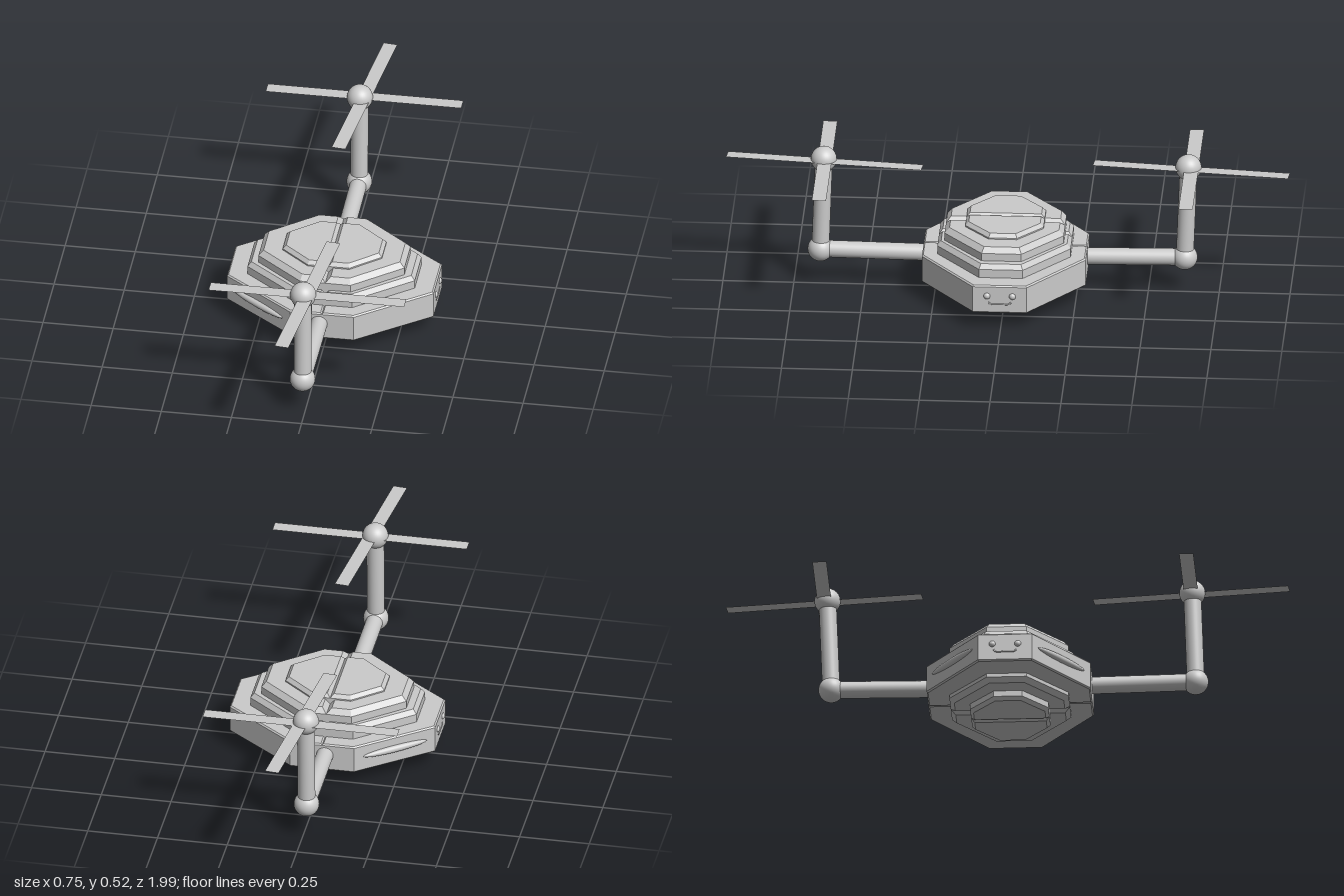
import * as THREE from 'three';

const grey = new THREE.MeshStandardMaterial({ color: 0xcccccc });
const thin = new THREE.MeshStandardMaterial({ color: 0xcccccc, side: THREE.DoubleSide });

function add(parent, name, geometry, material = grey) {
  const mesh = new THREE.Mesh(geometry, material);
  mesh.name = name;
  parent.add(mesh);
  return mesh;
}

// Octagonal slab from y0 to y1, split at x = 0, with chamfered edges
function slab(parent, name, y0, y1, x, z, xFlat, zFlat, inset, rise) {
  const shape = new THREE.Shape([
    [0, -z], [xFlat, -z], [x, -zFlat], [x, zFlat], [xFlat, z], [0, z],
  ].map(([a, b]) => new THREE.Vector2(a, b)));
  const geometry = new THREE.ExtrudeGeometry(shape, {
    depth: y1 - y0 - 2 * rise, bevelEnabled: true, bevelSegments: 1,
    bevelSize: inset, bevelOffset: -inset, bevelThickness: rise,
  });
  geometry.rotateX(-Math.PI / 2).translate(0, y0 + rise, 0);
  for (const side of [0, 1]) {
    add(parent, name + (side ? 'Right' : 'Left'), geometry).rotation.y = side * Math.PI;
  }
}

// Round bar between two points
function bar(parent, name, a, b, radius) {
  const mesh = add(parent, name, new THREE.CylinderGeometry(radius, radius, a.distanceTo(b), 32));
  mesh.position.copy(a).lerp(b, 0.5);
  mesh.quaternion.setFromUnitVectors(new THREE.Vector3(0, 1, 0), b.clone().sub(a).normalize());
}

function ball(parent, name, p, radius) {
  add(parent, name, new THREE.SphereGeometry(radius, 32, 20)).position.copy(p);
}

export function createModel() {
  const model = new THREE.Group();

  // Hull with stepped tiers above and below
  const body = new THREE.Group();
  body.name = 'body';
  body.position.z = 0.003;
  model.add(body);
  slab(body, 'hull', 0.062, 0.167, 0.368, 0.289, 0.114, 0.095, 0.005, 0.005);
  slab(body, 'lowerDeck', 0.14, 0.215, 0.298, 0.235, 0.1, 0.077, 0.013, 0.017);
  slab(body, 'middleDeck', 0.18, 0.262, 0.26, 0.21, 0.09, 0.07, 0.017, 0.019);
  slab(body, 'topDeck', 0.23, 0.28, 0.177, 0.138, 0.074, 0.05, 0.012, 0.013);
  slab(body, 'upperBelly', 0.033, 0.1, 0.26, 0.21, 0.09, 0.07, 0.017, 0.016);
  slab(body, 'lowerBelly', 0, 0.07, 0.177, 0.138, 0.074, 0.05, 0.012, 0.012);

  // Faces on both ends: two eyes and a small smile
  for (const s of [1, -1]) {
    for (const z of [-0.045, 0.045]) {
      ball(body, 'eye', new THREE.Vector3(s * 0.364, 0.127, z), 0.0125);
    }
    const smile = new THREE.CatmullRomCurve3(
      [[0.105, -0.04], [0.098, -0.034], [0.097, 0], [0.098, 0.034], [0.105, 0.04]]
        .map(([y, z]) => new THREE.Vector3(s * 0.368, y, z)));
    add(body, 'mouth', new THREE.TubeGeometry(smile, 24, 0.0028, 8));

    // Slim oval lights on the two right-hand slanted sides
    const light = add(body, 'sideLight', new THREE.SphereGeometry(1, 32, 16));
    light.scale.set(0.125, 0.013, 0.013);
    light.position.set(-0.243, 0.12, s * 0.192);
    light.rotation.y = -s * Math.atan2(0.194, 0.254);
  }

  // Front and back arms, each with an elbow, a mast and a four-bladed rotor
  const units = [
    { name: 'front', s: 1, elbowZ: 0.657, hubZ: 0.645, bladeZ: 0.641 },
    { name: 'back', s: -1, elbowZ: -0.628, hubZ: -0.641, bladeZ: -0.652 },
  ];
  for (const u of units) {
    const unit = new THREE.Group();
    unit.name = u.name + 'RotorArm';
    model.add(unit);
    const root = new THREE.Vector3(-0.01, 0.123, u.s * 0.22);
    const elbow = new THREE.Vector3(-0.011, 0.128, u.elbowZ);
    const hub = new THREE.Vector3(-0.011, 0.473, u.hubZ);
    bar(unit, 'arm', root, elbow, 0.03);
    ball(unit, 'elbow', elbow, 0.045);
    bar(unit, 'mast', elbow, hub, 0.031);
    ball(unit, 'hub', hub, 0.046);
    for (const angle of [0, Math.PI / 2 - 0.11]) {
      const blade = new THREE.PlaneGeometry(0.697, 0.05).rotateX(-Math.PI / 2).rotateY(angle);
      add(unit, 'blade', blade, thin).position.set(0.004, 0.472, u.bladeZ);
    }
  }
  return model;
}
